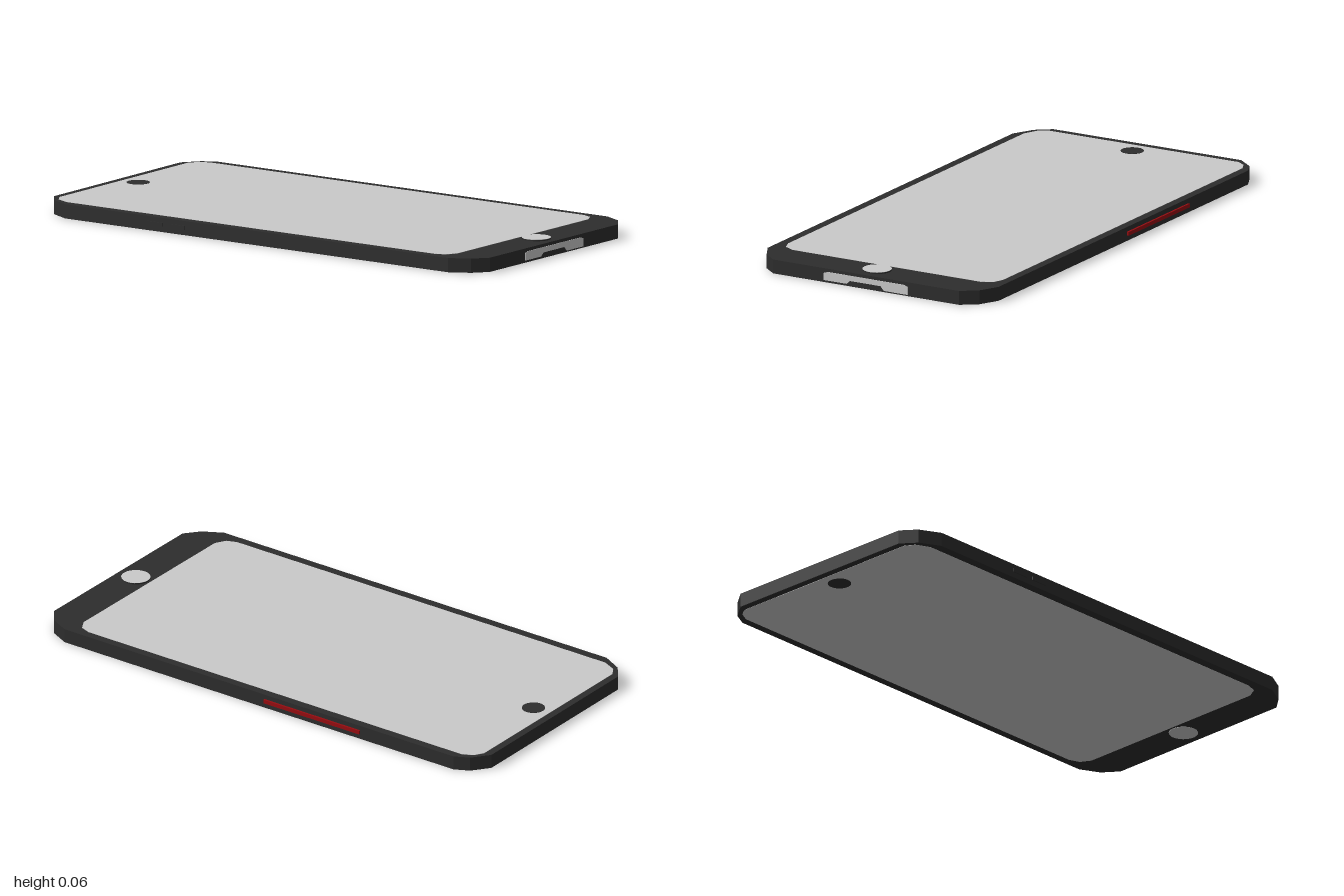
import * as THREE from 'three';

const charcoal = new THREE.MeshStandardMaterial({ color: 0x2d2d2d });
charcoal.name = 'charcoal';
const paleGrey = new THREE.MeshStandardMaterial({ color: 0xcacaca });
paleGrey.name = 'paleGrey';
const darkRed = new THREE.MeshStandardMaterial({ color: 0x960c10 });
darkRed.name = 'darkRed';

const outline = (points) => new THREE.Shape(points.map(([x, y]) => new THREE.Vector2(x, y)));

export function createModel() {
  const group = new THREE.Group();
  group.name = 'phone';

  const add = (name, geometry, material, x = 0, y = 0, z = 0) => {
    const mesh = new THREE.Mesh(geometry, material);
    mesh.name = name;
    mesh.position.set(x, y, z);
    group.add(mesh);
    return mesh;
  };

  // Lays an [x, z] outline flat and extrudes it from y0 up to y1
  const slab = (name, points, y0, y1, material) => {
    const shape = outline(points.map(([x, z]) => [x, -z]));
    const geometry = new THREE.ExtrudeGeometry(shape, { depth: y1 - y0, bevelEnabled: false });
    geometry.rotateX(-Math.PI / 2);
    return add(name, geometry, material, 0, y0, 0);
  };

  const disc = (name, radius, y0, y1, z, material) =>
    add(name, new THREE.CylinderGeometry(radius, radius, y1 - y0, 24), material, -0.003, (y0 + y1) / 2, z);

  // Body with clipped corners and a slightly slanted back edge
  slab('body', [
    [-0.40, 0.995], [0.395, 0.995], [0.455, 0.95], [0.492, 0.875],
    [0.492, -0.895], [0.465, -0.95], [0.40, -1.0],
    [-0.397, -0.99], [-0.455, -0.945], [-0.496, -0.865],
    [-0.496, 0.875], [-0.455, 0.95],
  ], 0.001, 0.054, charcoal);

  // Screen panel, showing on both faces
  const screen = [
    [-0.405, 0.852], [0.405, 0.852], [0.445, 0.83], [0.46, 0.79],
    [0.46, -0.91], [0.44, -0.95], [0.405, -0.971],
    [-0.40, -0.962], [-0.435, -0.94], [-0.46, -0.885],
    [-0.46, 0.79], [-0.445, 0.83],
  ];
  slab('screen', screen, 0.053, 0.055, paleGrey);
  slab('backPanel', screen, 0, 0.002, paleGrey);

  // Camera dots on both faces
  disc('camera', 0.043, 0.053, 0.056, -0.895, charcoal);
  disc('rearCamera', 0.043, -0.001, 0.002, -0.895, charcoal);

  // Raised home button with a pale cap
  disc('homeButton', 0.054, 0.05, 0.059, 0.915, charcoal);
  disc('homeButtonCap', 0.054, 0.059, 0.06, 0.915, paleGrey);
  disc('rearButtonCap', 0.054, 0, 0.002, 0.915, paleGrey);

  // Side keys
  add('powerKey', new THREE.BoxGeometry(0.012, 0.014, 0.435), darkRed, 0.494, 0.029, -0.253);
  for (const z of [-0.455, -0.355])
    add('volumeKey', new THREE.BoxGeometry(0.01, 0.014, 0.07), charcoal, -0.495, 0.029, z);

  // Notched plate on the front edge
  const plate = outline([
    [-0.183, 0.009], [-0.085, 0.009], [-0.07, 0.022], [0.06, 0.022], [0.075, 0.006],
    [0.177, 0.006], [0.177, 0.036], [0.16, 0.042], [-0.165, 0.042], [-0.183, 0.036],
  ]);
  add('portPlate', new THREE.ExtrudeGeometry(plate, { depth: 0.004, bevelEnabled: false }), paleGrey, 0, 0, 0.993);

  return group;
}
